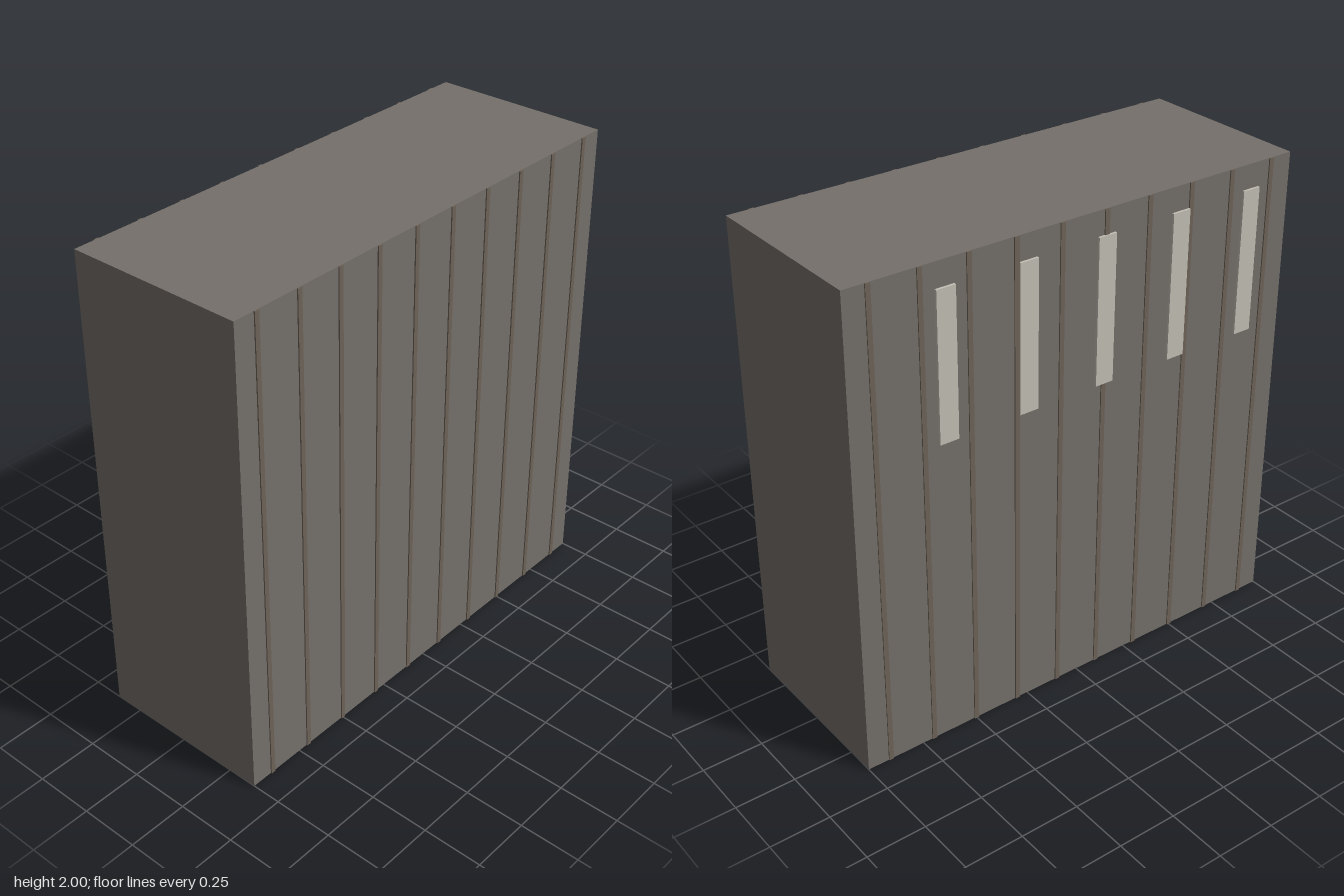
import * as THREE from 'three';

const WIDTH = 2, HEIGHT = 2, DEPTH = 0.75;
const RIB = 0.005, WINDOW = 0.01; // how far each stands proud of the wall
const MID_Z = (WINDOW - RIB) / 2; // centres the whole depth on z = 0

export function createModel() {
  const group = new THREE.Group();
  const wall = new THREE.MeshStandardMaterial({ color: 0x75706a });
  const trim = new THREE.MeshStandardMaterial({ color: 0x6e6459 });
  const glass = new THREE.MeshStandardMaterial({ color: 0xc4c0b5 });

  const addBox = (name, material, w, h, d, x, y, z) => {
    const mesh = new THREE.Mesh(new THREE.BoxGeometry(w, h, d), material);
    mesh.name = name;
    mesh.position.set(x, y, z);
    group.add(mesh);
  };

  // Main block
  addBox('body', wall, WIDTH, HEIGHT, DEPTH, 0, HEIGHT / 2, MID_Z);

  // Full-height vertical ribs on the front and back
  for (let i = 0; i < 10; i++) {
    const x = -0.9 + i * 0.2;
    for (const side of [1, -1]) {
      addBox(side > 0 ? 'frontRib' : 'backRib', trim, 0.02, HEIGHT, RIB,
        x, HEIGHT / 2, MID_Z + side * (DEPTH + RIB) / 2);
    }
  }

  // Tall narrow windows high on the back
  for (let i = 0; i < 5; i++) {
    addBox('window', glass, 0.08, 0.6, WINDOW,
      -0.8 + i * 0.35, 1.6, MID_Z - (DEPTH + WINDOW) / 2);
  }

  return group;
}
